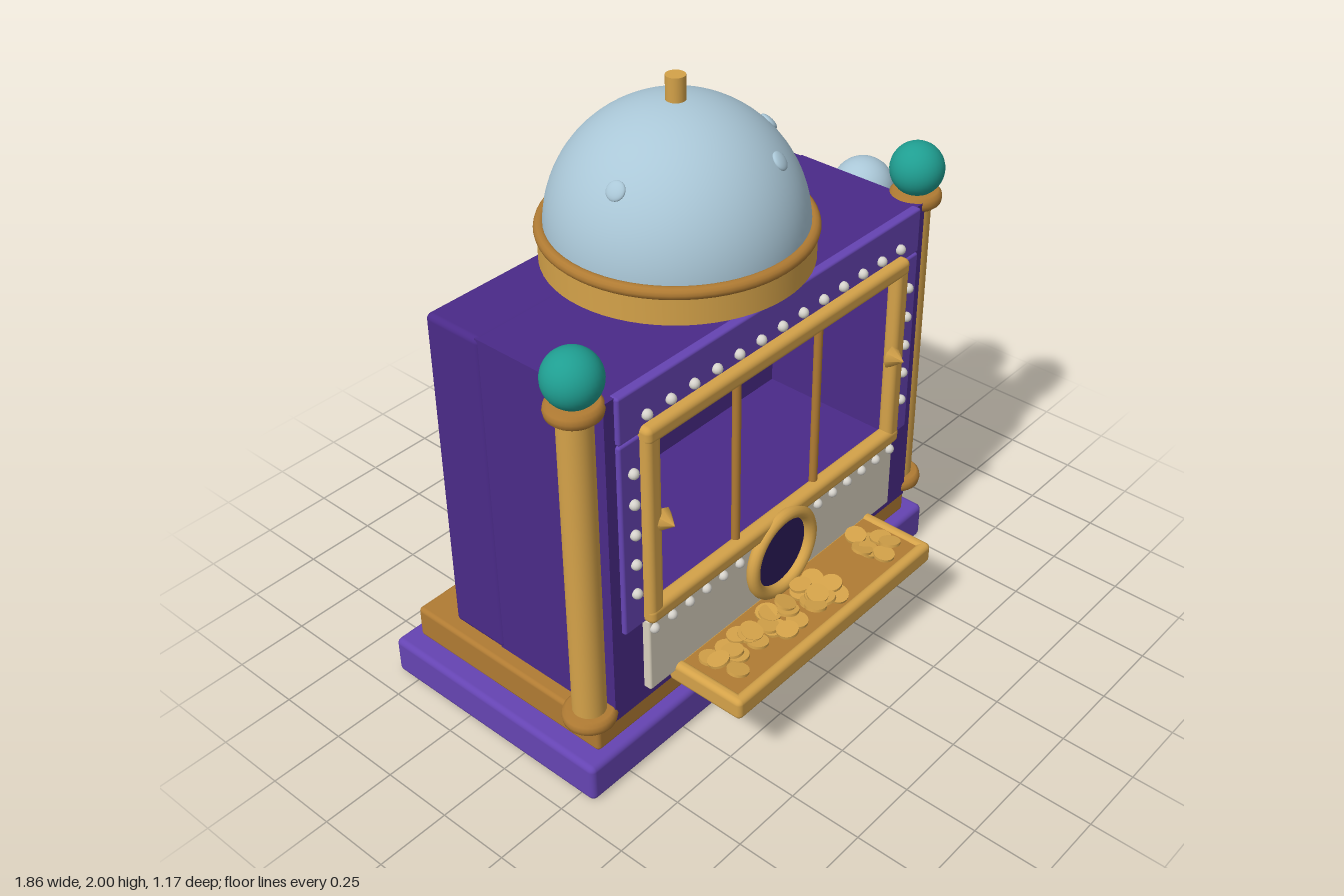
import * as THREE from 'three';
import { RoundedBoxGeometry } from 'three/addons/geometries/RoundedBoxGeometry.js';

const CX = -0.065; // centre line of the cabinet

function material(name, color) {
  const m = new THREE.MeshStandardMaterial({ color });
  m.name = name;
  return m;
}

export function createModel() {
  const root = new THREE.Group();
  root.name = 'coinMachine';

  const purple = material('deepPurple', 0x4a2a88);
  const violet = material('violet', 0x6544b2);
  const gold = material('gold', 0xd4a249);
  const bronze = material('bronze', 0xb07b33);
  const teal = material('teal', 0x1f9e91);
  const paleBlue = material('paleBlue', 0xaac7d7);
  const cream = material('cream', 0xd8d0bd);
  const pearl = material('pearl', 0xd6d3cc);
  const dark = material('darkPurple', 0x2a1a58);

  const add = (name, geometry, mat, x = 0, y = 0, z = 0, parent = root) => {
    const mesh = new THREE.Mesh(geometry, mat);
    mesh.name = name;
    mesh.position.set(x, y, z);
    parent.add(mesh);
    return mesh;
  };
  // Rounded box given by its limits on each axis
  const block = (name, mat, [x0, x1], [y0, y1], [z0, z1], r = 0.015) =>
    add(name, new RoundedBoxGeometry(x1 - x0, y1 - y0, z1 - z0, 3, r), mat,
      (x0 + x1) / 2, (y0 + y1) / 2, (z0 + z1) / 2);
  const cylinder = (r, h, sides = 32) => new THREE.CylinderGeometry(r, r, h, sides);
  const ball = (r) => new THREE.SphereGeometry(r, 32, 20);

  // Stepped plinth
  block('lowerPlinth', violet, [-0.92, 0.79], [0, 0.137], [-0.587, 0.31], 0.02);
  block('upperPlinth', bronze, [-0.85, 0.725], [0.135, 0.252], [-0.54, 0.27], 0.015);

  // Cabinet: solid back and a front shell around the open display
  block('cabinetBack', purple, [-0.805, 0.68], [0.25, 1.42], [-0.405, -0.18], 0.02);
  const rectangle = (path, x0, x1, y0, y1) => path
    .moveTo(x0, y0).lineTo(x1, y0).lineTo(x1, y1).lineTo(x0, y1).closePath();
  const shell = new THREE.Shape();
  rectangle(shell, -0.8, 0.675, 0.25, 1.418);
  const opening = new THREE.Path();
  rectangle(opening, -0.65, 0.52, 0.605, 1.255);
  shell.holes.push(opening);
  add('cabinetShell', new THREE.ExtrudeGeometry(shell, { depth: 0.5, bevelEnabled: false }), purple, 0, 0, -0.2);

  // Front facing panels
  block('topPanel', violet, [-0.76, 0.635], [1.262, 1.42], [0.28, 0.315], 0.008);
  block('leftPanel', violet, [0.53, 0.635], [0.575, 1.258], [0.28, 0.315], 0.008);
  block('rightPanel', violet, [-0.76, -0.66], [0.575, 1.258], [0.28, 0.315], 0.008);
  block('lowerPanel', cream, [-0.672, 0.545], [0.3, 0.578], [0.28, 0.327], 0.008);

  // Window frame, dividers and side pointers
  block('frameTop', gold, [-0.68, 0.55], [1.228, 1.288], [0.295, 0.35], 0.02);
  block('frameBottom', gold, [-0.68, 0.55], [0.575, 0.635], [0.295, 0.35], 0.02);
  for (const side of [-1, 1]) {
    const x = CX + side * 0.585;
    block('frameSide', gold, [x - 0.03, x + 0.03], [0.58, 1.285], [0.297, 0.348], 0.02);
    add('divider', cylinder(0.014, 0.62, 16), bronze, CX + side * 0.193, 0.93, 0.31);
    const pointer = add('pointer', new THREE.ConeGeometry(0.04, 0.05, 8), gold, CX + side * 0.553, 0.94, 0.362);
    pointer.rotation.x = Math.PI / 2;
  }

  // Pearl studs around the display
  const studs = new THREE.Group();
  studs.name = 'pearlStuds';
  root.add(studs);
  const studShape = new THREE.SphereGeometry(0.017, 14, 10);
  const stud = (x, y, z) => add('pearlStud', studShape, pearl, x, y, z, studs);
  for (let i = 0; i < 13; i++) stud(CX + (i - 6) * 0.098, 1.32, 0.322);
  for (let i = 0; i < 5; i++) {
    for (const side of [-1, 1]) stud(CX + side * 0.648, 1.15 - i * 0.109, 0.322);
  }
  for (let i = 0; i < 16; i++) {
    if (i < 6 || i > 9) stud(CX + (i - 7.5) * 0.0783, 0.545, 0.33);
  }

  // Coin chute
  add('chuteRing', new THREE.TorusGeometry(0.144, 0.022, 14, 48), gold, CX, 0.472, 0.343);
  add('chuteHole', cylinder(0.135, 0.009, 40), dark, CX, 0.472, 0.33).rotation.x = Math.PI / 2;

  // Tray with a raised rim
  block('trayFloor', bronze, [-0.545, 0.42], [0.26, 0.318], [0.29, 0.57], 0.008);
  block('trayFront', gold, [-0.56, 0.435], [0.25, 0.326], [0.545, 0.585], 0.018);
  block('trayBack', gold, [-0.56, 0.435], [0.25, 0.322], [0.295, 0.335], 0.018);
  for (const x of [-0.54, 0.415]) {
    block('traySide', gold, [x - 0.02, x + 0.02], [0.25, 0.326], [0.297, 0.583], 0.018);
  }

  // Scattered coins: one large pile and one small pile
  let seed = 11;
  const random = () => (seed = (seed * 16807) % 2147483647) / 2147483647;
  const coins = new THREE.Group();
  coins.name = 'coins';
  root.add(coins);
  const coinShape = cylinder(0.036, 0.01, 20);
  for (let i = 0; i < 39; i++) {
    const x = i < 32 ? -0.47 + random() * 0.53 : 0.23 + random() * 0.1;
    const coin = add('coin', coinShape, gold, x, 0.33 + random() * 0.032, 0.385 + random() * 0.125, coins);
    coin.rotation.set((random() - 0.5) * 0.5, 0, (random() - 0.5) * 0.5);
  }

  // Corner columns with collars and ball tops
  const collar = new THREE.LatheGeometry([
    [0, -0.025], [0.072, -0.025], [0.083, -0.015], [0.086, 0], [0.083, 0.015], [0.072, 0.025], [0, 0.025],
  ].map(([x, y]) => new THREE.Vector2(x, y)), 36);
  for (const side of [-1, 1]) {
    const column = new THREE.Group();
    column.name = side > 0 ? 'leftColumn' : 'rightColumn';
    column.position.set(CX + side * 0.78, 0, 0.235);
    root.add(column);
    add('shaft', cylinder(0.053, 1.16), gold, 0, 0.84, 0, column);
    add('baseCollar', collar, bronze, 0, 0.28, 0, column);
    add('topCollar', collar, bronze, 0, 1.405, 0, column);
    add('columnBall', ball(0.089), teal, 0, 1.502, 0, column);
  }

  // Dome on its drum
  const dome = new THREE.Group();
  dome.name = 'dome';
  dome.position.set(CX, 0, -0.09);
  root.add(dome);
  add('drum', cylinder(0.422, 0.11, 64), gold, 0, 1.475, 0, dome);
  const rim = add('drumRim', new THREE.TorusGeometry(0.412, 0.02, 12, 64), bronze, 0, 1.522, 0, dome);
  rim.rotation.x = Math.PI / 2;
  add('domeShell', new THREE.SphereGeometry(0.404, 64, 24, 0, Math.PI * 2, 0, Math.PI / 2), paleBlue, 0, 1.52, 0, dome);
  add('finial', cylinder(0.031, 0.1, 24), gold, 0, 1.95, 0, dome);
  for (const [x, z] of [[-0.313, 0.052], [0.285, 0.115], [0.122, 0.29]]) {
    const y = Math.sqrt(0.404 ** 2 - x * x - z * z);
    const rivet = add('domeRivet', ball(0.031), paleBlue, x, 1.52 + y, z, dome);
    rivet.scale.z = 0.4;
    rivet.quaternion.setFromUnitVectors(new THREE.Vector3(0, 0, 1), new THREE.Vector3(x, y, z).normalize());
  }

  // Pull lever on the model's left side
  add('leverHub', cylinder(0.071, 0.11), gold, 0.73, 0.775, -0.045).rotation.z = Math.PI / 2;
  add('leverArm', cylinder(0.021, 0.5, 20), gold, 0.815, 1.01, -0.045);
  add('leverBall', ball(0.106), paleBlue, 0.817, 1.295, -0.045);

  return root;
}
